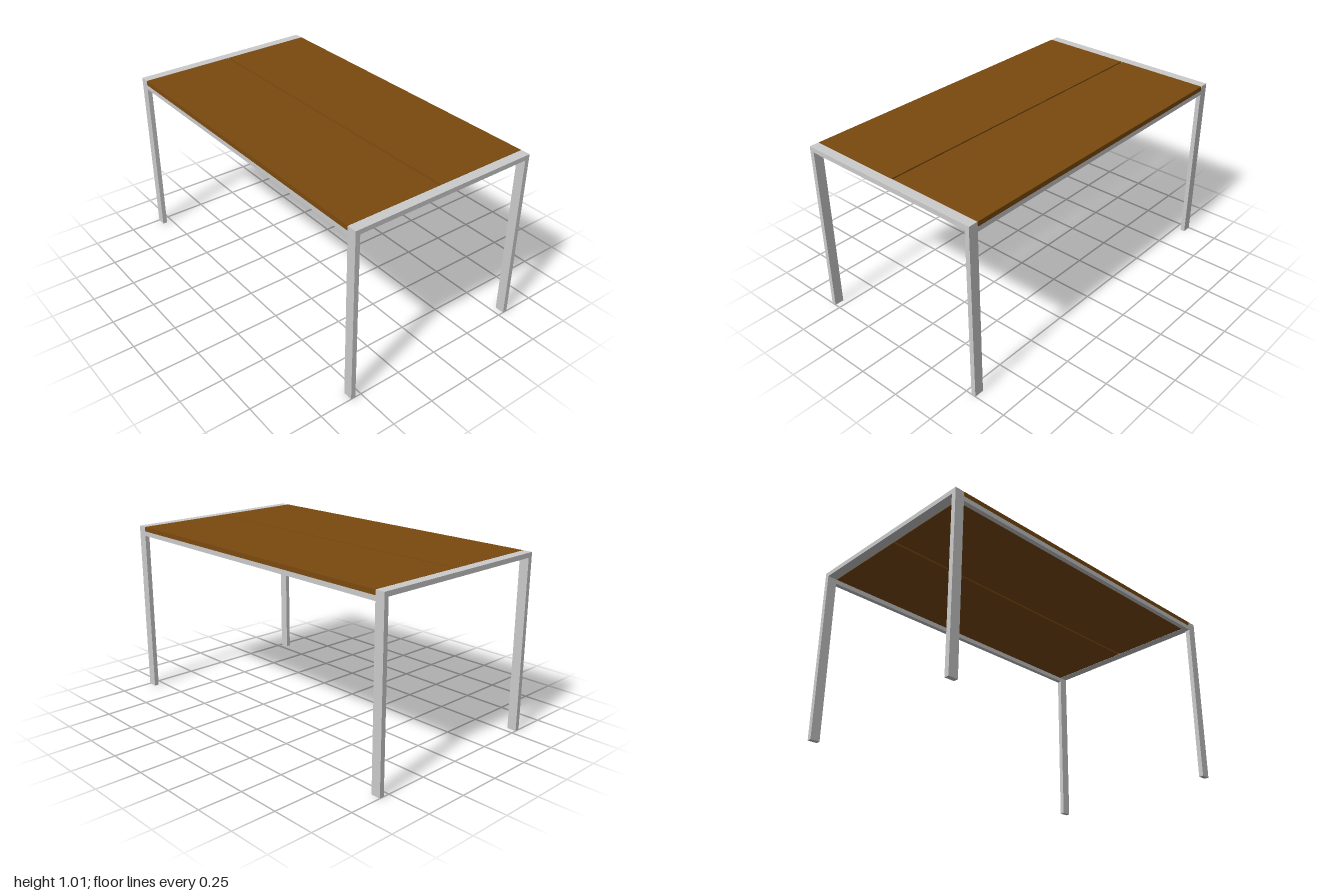
import * as THREE from 'three';

const H = 1.015;      // overall height
const DEPTH = 1.125;  // overall depth
const LEG_W = 0.055;  // flat bar width
const BAR = 0.027;    // flat bar thickness
const GAP = 0.01;     // slit between the two boards

export function createModel() {
  const group = new THREE.Group();
  group.name = 'table';
  const metal = new THREE.MeshStandardMaterial({ color: 0xcccccc });
  const wood = new THREE.MeshStandardMaterial({ color: 0x7b4a0e });

  const box = (name, material, size, position) => {
    const mesh = new THREE.Mesh(new THREE.BoxGeometry(...size), material);
    mesh.name = name;
    mesh.position.set(...position);
    group.add(mesh);
  };

  const legX = 1 - LEG_W / 2;
  const legZ = DEPTH / 2 - BAR / 2;
  const innerW = 2 - 2 * LEG_W;

  // Two end frames: a pair of legs joined by a flat top bar
  for (const [side, sx] of [['left', 1], ['right', -1]]) {
    for (const [end, sz] of [['Front', 1], ['Back', -1]]) {
      box(`${side}${end}Leg`, metal, [LEG_W, H, BAR], [sx * legX, H / 2, sz * legZ]);
    }
    box(`${side}TopBar`, metal, [LEG_W, BAR, DEPTH - 2 * BAR], [sx * legX, H - BAR / 2, 0]);
  }

  // Long rails under the boards, and the two boards with a slit between them
  const boardD = (DEPTH - GAP) / 2;
  for (const [end, sz] of [['front', 1], ['back', -1]]) {
    box(`${end}Rail`, metal, [innerW, BAR, BAR], [0, H - BAR * 1.5, sz * legZ]);
    box(`${end}Board`, wood, [innerW - 0.004, BAR, boardD], [0, H - BAR / 2, sz * (GAP + boardD) / 2]);
  }
  return group;
}
